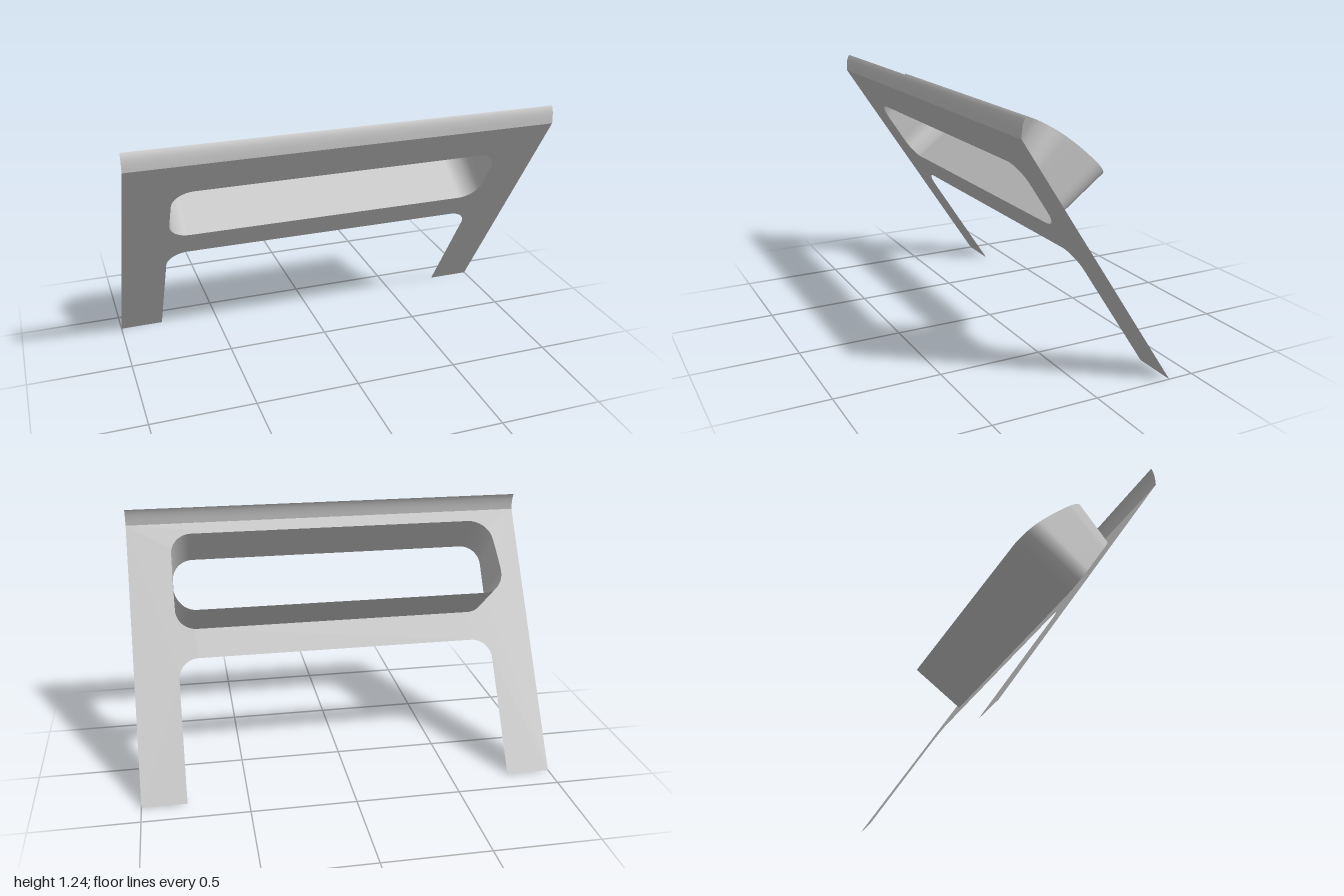
import * as THREE from 'three';

const SLOPE = Math.atan(0.654);   // lean of the plate towards the front
const FOOT_Z = -0.378;            // z of the feet
const HALF = 0.787;               // half width of the opening
const R = 0.1;                    // corner radius
const LEN = 1.155 / Math.cos(SLOPE);
const S0 = 0.70 / Math.cos(SLOPE), S1 = 0.994 / Math.cos(SLOPE);

// Rounded rectangle of the opening, counter-clockwise, in plate coordinates
function openingPoints() {
  const pts = [];
  const corners = [[1, S0 + R, -90], [1, S1 - R, 0], [-1, S1 - R, 90], [-1, S0 + R, 180]];
  corners.forEach(([side, s, start], c) => {
    for (let i = 0; i <= 12; i++) {
      const a = THREE.MathUtils.degToRad(start + i * 7.5);
      pts.push(new THREE.Vector2(side * (HALF - R) + R * Math.cos(a), s + R * Math.sin(a)));
    }
    // Extra points on the short sides, so the rear rim can curve
    if (c % 2 === 0) {
      for (let i = 1; i < 6; i++) {
        const t = c === 0 ? i / 6 : 1 - i / 6;
        pts.push(new THREE.Vector2(side * HALF, S0 + R + t * (S1 - S0 - 2 * R)));
      }
    }
  });
  // Put each side's extra points between its two corners
  const right = pts.slice(0, 18), topRight = pts.slice(18, 31);
  const topLeft = pts.slice(31, 44), leftSide = pts.slice(44, 49), bottomLeft = pts.slice(49);
  return [...right, ...topRight, ...topLeft, ...leftSide, ...bottomLeft];
}

// Surface between successive rows of points
function loft(rows, closed) {
  const n = rows[0].length, index = [];
  for (let r = 0; r < rows.length - 1; r++) {
    for (let i = 0; i < (closed ? n : n - 1); i++) {
      const a = r * n + i, b = r * n + (i + 1) % n;
      index.push(a, b, b + n, a, b + n, a + n);
    }
  }
  const g = new THREE.BufferGeometry().setFromPoints(rows.flat());
  g.setIndex(index);
  g.computeVertexNormals();
  return g;
}

export function createModel() {
  const model = new THREE.Group();
  model.name = 'slopedFrame';
  const grey = new THREE.MeshStandardMaterial({ color: 0xc0c0c0, side: THREE.DoubleSide });
  grey.name = 'light grey';
  const add = (name, geometry) => {
    const mesh = new THREE.Mesh(geometry, grey);
    mesh.name = name;
    model.add(mesh);
    return mesh;
  };

  // Leaning plate with two legs and a rounded opening
  const opening = openingPoints();
  const bar = 0.578 / Math.cos(SLOPE);
  const shape = new THREE.Shape();
  shape.moveTo(-1, 0);
  shape.lineTo(-HALF, 0);
  shape.lineTo(-HALF, bar - R);
  shape.absarc(-HALF + R, bar - R, R, Math.PI, Math.PI / 2, true);
  shape.lineTo(HALF - R, bar);
  shape.absarc(HALF - R, bar - R, R, Math.PI / 2, 0, true);
  shape.lineTo(HALF, 0);
  shape.lineTo(1, 0);
  shape.lineTo(1, LEN);
  shape.lineTo(-1, LEN);
  shape.closePath();
  shape.holes.push(new THREE.Path(opening));
  const plate = add('plateWithLegs', new THREE.ShapeGeometry(shape, 12));
  plate.rotation.x = SLOPE;
  plate.position.z = FOOT_Z;

  // Flared sleeve running back from the opening to a bowed rear rim
  const front = opening.map(p => new THREE.Vector3(
    p.x, p.y * Math.cos(SLOPE), FOOT_Z + p.y * Math.sin(SLOPE)));
  const back = opening.map(p => {
    const v = (p.y - S0) / (S1 - S0), bow = 0.06 * v * (1 - v);
    return new THREE.Vector3(p.x, 0.89 + 0.27 * v + 0.775 * bow, -0.18 + 0.33 * v - 0.634 * bow);
  });
  add('sleeve', loft([back, front], true));

  // Slightly curved lip along the top edge
  const profile = [[1.155, 0.378], [1.185, 0.377], [1.21, 0.373], [1.228, 0.367], [1.238, 0.361]];
  add('topLip', loft(profile.map(([y, z]) =>
    [new THREE.Vector3(-1, y, z), new THREE.Vector3(1, y, z)]), false));

  return model;
}
